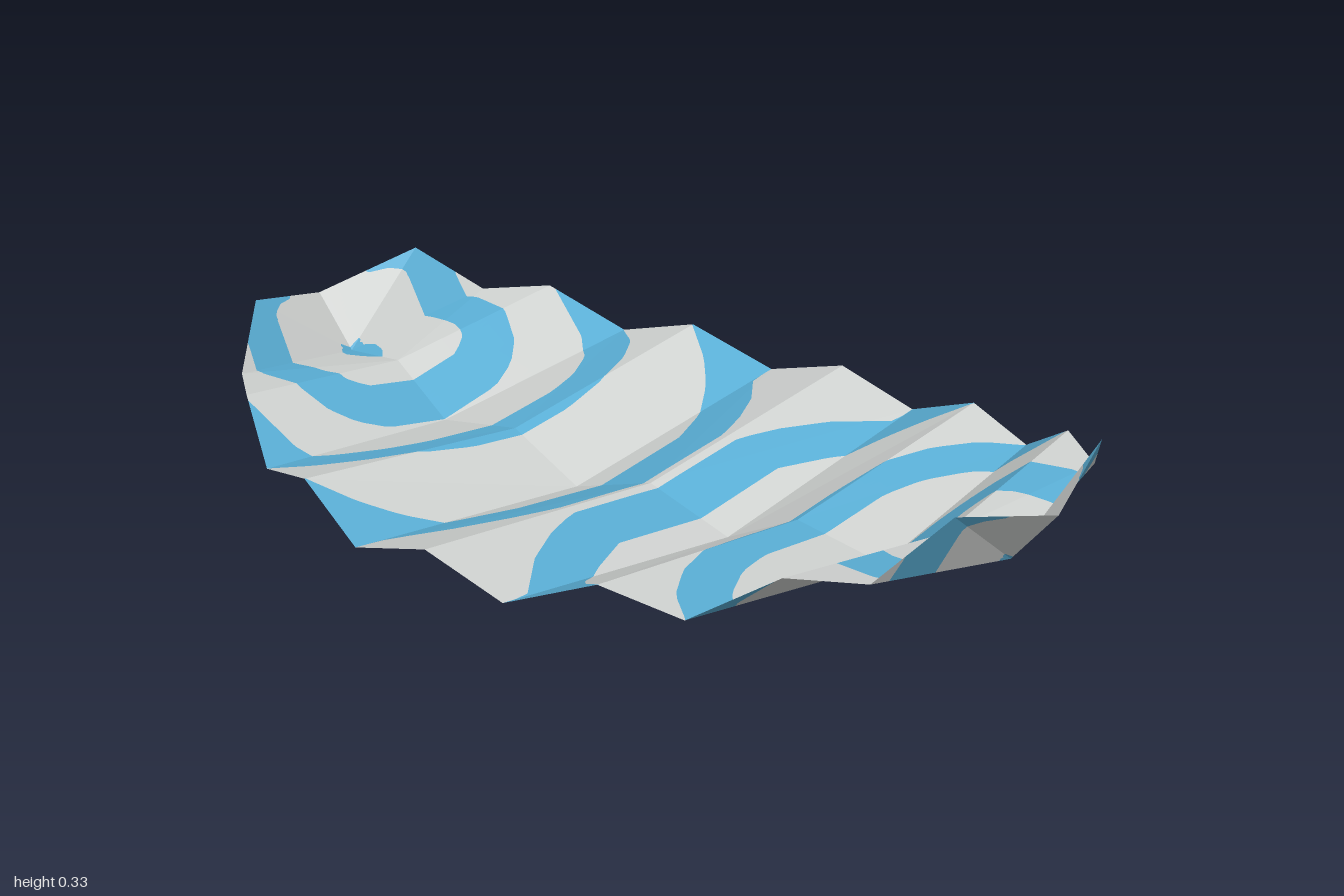
import * as THREE from 'three';
import { mergeVertices } from 'three/addons/utils/BufferGeometryUtils.js';

const grey = new THREE.MeshStandardMaterial({ color: 0xd0d3d1, flatShading: true, side: THREE.DoubleSide });
grey.name = 'light grey';
const blue = new THREE.MeshStandardMaterial({ color: 0x5aafd6, flatShading: true, side: THREE.DoubleSide });
blue.name = 'sky blue';

// Fold lines of one quarter: point on the spine (z = 0) and point on the rim
const spine = [[0, 0.065, 0], [0.21, 0, 0], [0.39, 0.09, 0], [0.605, 0.055, 0], [0.75, 0.163, 0], [0.9, 0.152, 0], [1, 0.27, 0]];
const rim = [[0, 0.14, 0.673], [0.2, 0.085, 0.668], [0.395, 0.164, 0.618], [0.565, 0.125, 0.568], [0.72, 0.225, 0.478], [0.845, 0.215, 0.38], [0.935, 0.33, 0.25]];

// Plan outlines (x, z) of the painted bands, running past the spine and rim
const bands = [
  [[0.02, -0.2], [0.02, 0.27], [0.055, 0.37], [0.11, 0.48], [0.2, 0.6], [0.2, 0.8],
    [0.44, 0.64], [0.395, 0.615], [0.31, 0.555], [0.25, 0.49], [0.19, 0.39], [0.138, 0.26], [0.138, -0.2]],
  [[0.368, -0.2], [0.37, 0.15], [0.388, 0.29], [0.43, 0.41], [0.49, 0.505], [0.565, 0.565], [0.62, 0.66],
    [0.8, 0.52], [0.71, 0.485], [0.6, 0.455], [0.54, 0.4], [0.487, 0.3], [0.462, 0.2], [0.458, -0.2]],
  [[0.605, -0.2], [0.608, 0.17], [0.63, 0.245], [0.665, 0.295], [0.72, 0.325], [0.82, 0.338], [0.88, 0.325], [0.96, 0.37],
    [1.02, 0.1], [0.965, 0.12], [0.945, 0.17], [0.922, 0.205], [0.85, 0.21], [0.77, 0.205], [0.725, 0.185], [0.703, 0.14], [0.7, -0.2]],
  [[0.8, 0], [0.83, 0.03], [0.87, 0.046], [0.905, 0.03], [0.905, -0.03], [0.87, -0.046], [0.83, -0.03]],
];

// Signed distance to one band outline, positive inside
function insideDistance(outline, x, z) {
  let best = Infinity;
  let inside = false;
  outline.forEach(([ax, az], i) => {
    const [bx, bz] = outline[(i + 1) % outline.length];
    const ex = bx - ax, ez = bz - az;
    const t = THREE.MathUtils.clamp(((x - ax) * ex + (z - az) * ez) / (ex * ex + ez * ez), 0, 1);
    best = Math.min(best, Math.hypot(x - ax - t * ex, z - az - t * ez));
    if ((az > z) !== (bz > z) && x < ax + ((z - az) / ez) * ex) inside = !inside;
  });
  return inside ? best : -best;
}
const paint = (p) => Math.max(...bands.map((b) => insideDistance(b, p.x, p.z)));

// Keep the part of a polygon where sign * paint value is positive
function clip(points, values, sign) {
  const out = [];
  points.forEach((p, i) => {
    const j = (i + 1) % points.length;
    const a = values[i] * sign, b = values[j] * sign;
    if (a >= 0) out.push(p);
    if ((a > 0 && b < 0) || (a < 0 && b > 0)) out.push(p.clone().lerp(points[j], a / (a - b)));
  });
  return out;
}

// Subdivide a flat facet and sort its pieces into painted and plain triangles
function splitFacet(a, b, c, painted, plain) {
  const n = 18;
  const at = (i, j) => {
    const p = a.clone().multiplyScalar((n - i - j) / n).addScaledVector(b, i / n).addScaledVector(c, j / n);
    return { p, v: paint(p) };
  };
  const add = (tri) => {
    const pts = tri.map((t) => t.p), vals = tri.map((t) => t.v);
    [[painted, 1], [plain, -1]].forEach(([list, sign]) => {
      const poly = clip(pts, vals, sign);
      for (let k = 1; k + 1 < poly.length; k++) list.push(poly[0], poly[k], poly[k + 1]);
    });
  };
  for (let i = 0; i < n; i++) {
    for (let j = 0; j < n - i; j++) {
      add([at(i, j), at(i + 1, j), at(i, j + 1)]);
      if (i + j < n - 1) add([at(i + 1, j), at(i + 1, j + 1), at(i, j + 1)]);
    }
  }
}

// Mirror a quarter's triangles, keeping the upper side in front
function mirrored(points, sx, sz) {
  const data = [];
  for (let i = 0; i < points.length; i += 3) {
    const order = sx * sz > 0 ? [0, 1, 2] : [0, 2, 1];
    order.forEach((k) => {
      const p = points[i + k];
      data.push(p.x * sx, p.y, p.z * sz);
    });
  }
  const g = new THREE.BufferGeometry();
  g.setAttribute('position', new THREE.Float32BufferAttribute(data, 3));
  const merged = mergeVertices(g, 1e-5).toNonIndexed();
  merged.computeVertexNormals();
  return merged;
}

export function createModel() {
  const model = new THREE.Group();
  model.name = 'foldedShell';

  // One panel between each pair of fold lines, then four mirrored quarters
  for (let i = 0; i + 1 < spine.length; i++) {
    const [s0, s1, r0, r1] = [spine[i], spine[i + 1], rim[i], rim[i + 1]].map((p) => new THREE.Vector3(...p));
    const painted = [], plain = [];
    splitFacet(s0, r0, r1, painted, plain);
    splitFacet(s0, r1, s1, painted, plain);
    for (const [sx, xName] of [[1, 'left'], [-1, 'right']]) {
      for (const [sz, zName] of [[1, 'Front'], [-1, 'Back']]) {
        const panel = new THREE.Group();
        panel.name = `${xName}${zName}Panel${i + 1}`;
        for (const [points, material, name] of [[painted, blue, 'blueBand'], [plain, grey, 'greyPanel']]) {
          if (!points.length) continue;
          const mesh = new THREE.Mesh(mirrored(points, sx, sz), material);
          mesh.name = name;
          panel.add(mesh);
        }
        model.add(panel);
      }
    }
  }
  return model;
}
